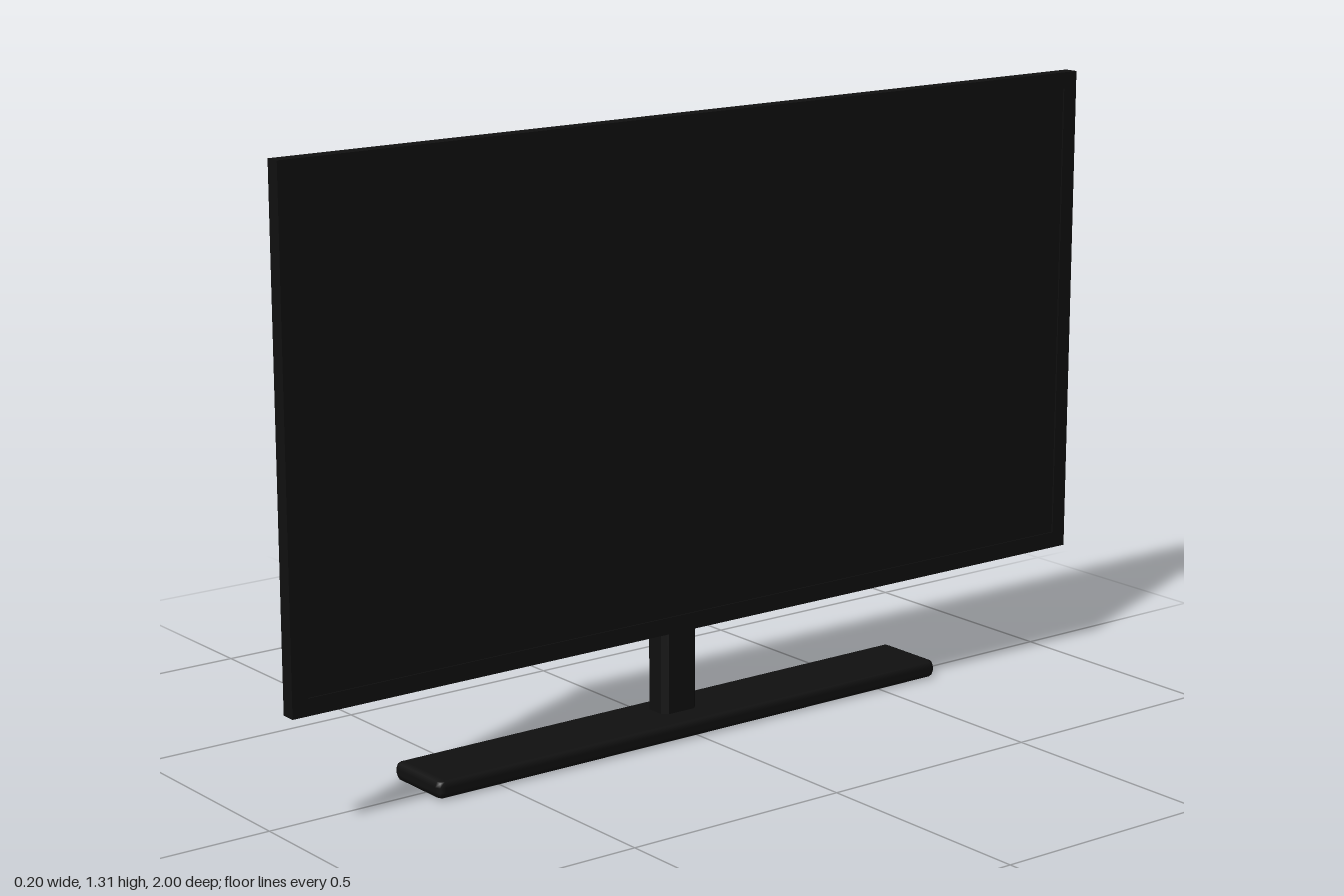
import * as THREE from 'three';
import { RoundedBoxGeometry } from 'three/addons/geometries/RoundedBoxGeometry.js';

const black = new THREE.MeshStandardMaterial({ color: 0x101010 });

function part(name, geometry, x, y, z) {
  const mesh = new THREE.Mesh(geometry, black);
  mesh.name = name;
  mesh.position.set(x, y, z);
  return mesh;
}

function rectangle(Type, w, h) {
  return new Type([
    new THREE.Vector2(-w / 2, -h / 2), new THREE.Vector2(w / 2, -h / 2),
    new THREE.Vector2(w / 2, h / 2), new THREE.Vector2(-w / 2, h / 2),
  ]);
}

export function createModel() {
  const group = new THREE.Group();
  const width = 2, height = 1.06, depth = 0.032, bezel = 0.035, recess = 0.003;
  const screenX = 0.066, screenY = 0.25 + height / 2;

  // Display: a thin frame around a slightly recessed panel, facing +x
  const frameShape = rectangle(THREE.Shape, width, height);
  frameShape.holes.push(rectangle(THREE.Path, width - 2 * bezel, height - 2 * bezel));
  const frame = new THREE.ExtrudeGeometry(frameShape, { depth, bevelEnabled: false });
  frame.rotateY(Math.PI / 2);
  group.add(part('screenFrame', frame, screenX, screenY, 0));
  const panel = new THREE.BoxGeometry(depth - recess, height - 2 * bezel, width - 2 * bezel);
  group.add(part('screenPanel', panel, screenX + (depth - recess) / 2, screenY, 0));

  // Hinge barrel between the column and the back of the display
  const hinge = new THREE.CylinderGeometry(0.055, 0.055, 0.127, 32);
  hinge.rotateX(Math.PI / 2);
  group.add(part('hinge', hinge, 0.034, 0.69, -0.0235));

  // Upright column with the two corners nearest the display chamfered
  const a = 0.026, b = 0.045, c = 0.012;
  const section = new THREE.Shape([
    [-a, -b], [a - c, -b], [a, -b + c], [a, b - c], [a - c, b], [-a, b],
  ].map(([x, y]) => new THREE.Vector2(x, y)));
  const column = new THREE.ExtrudeGeometry(section, { depth: 0.74, bevelEnabled: false });
  column.rotateX(-Math.PI / 2);
  group.add(part('column', column, -0.017, 0.03, 0.008));

  // Long foot with bevelled edges
  group.add(part('base', new RoundedBoxGeometry(0.166, 0.042, 1.305, 1, 0.016), -0.017, 0.021, 0));

  return group;
}
